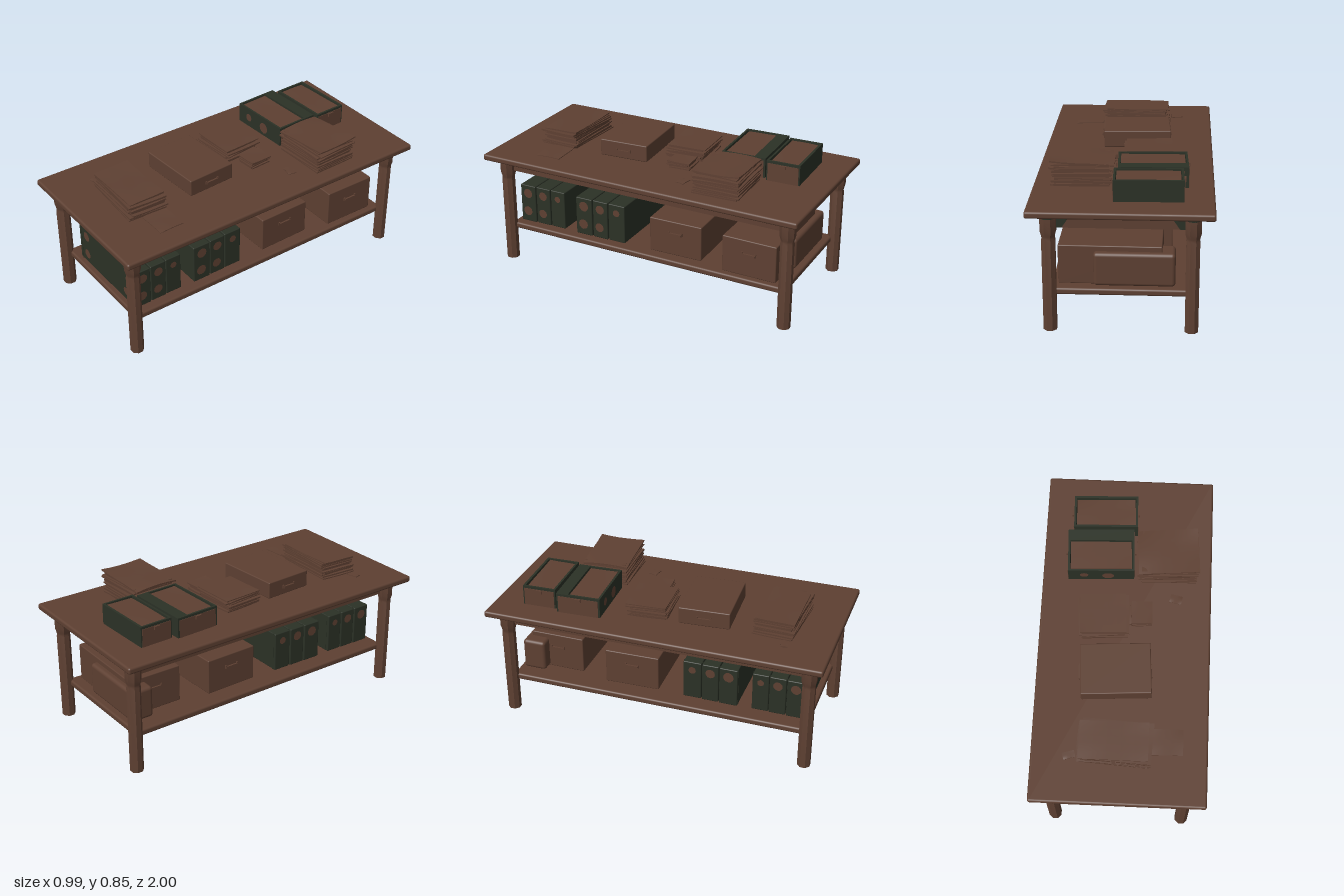
import * as THREE from 'three';
import { toCreasedNormals } from 'three/addons/utils/BufferGeometryUtils.js';
import { RoundedBoxGeometry } from 'three/addons/geometries/RoundedBoxGeometry.js';

const brown = new THREE.MeshStandardMaterial({ color: 0x5e4032 });
brown.name = 'dark brown';
const green = new THREE.MeshStandardMaterial({ color: 0x2b3126 });
green.name = 'dark green';

let seed = 7;
function rand(range = 1) { // seeded, from -range to range
  seed = (seed * 16807) % 2147483647;
  return (seed / 2147483647 * 2 - 1) * range;
}

function add(parent, name, geometry, material, x = 0, y = 0, z = 0) {
  const mesh = new THREE.Mesh(geometry, material);
  mesh.name = name;
  mesh.position.set(x, y, z);
  parent.add(mesh);
  return mesh;
}

function group(parent, name, x, y, z, turn = 0) {
  const g = new THREE.Group();
  g.name = name;
  g.position.set(x, y, z);
  g.rotation.y = turn;
  parent.add(g);
  return g;
}

const box = (w, h, d) => new THREE.BoxGeometry(w, h, d);

// Thin sheet or folder with curled corners
function sheet(w, h, d, curl) {
  const geo = new THREE.BoxGeometry(w, h, d, 5, 1, 5);
  const p = geo.attributes.position;
  const lift = [rand(curl), rand(curl), rand(curl), rand(curl)];
  for (let i = 0; i < p.count; i++) {
    const u = p.getX(i) / w * 2, v = p.getZ(i) / d * 2;
    const corner = lift[(u > 0 ? 1 : 0) + (v > 0 ? 2 : 0)];
    p.setY(i, p.getY(i) + corner * u * u * v * v);
  }
  geo.computeVertexNormals();
  return geo;
}

// Untidy pile of papers standing on the group's y = 0
function paperStack(parent, name, x, z, w, d, height, layers, turn) {
  const g = group(parent, name, x, 0.705, z, turn);
  const step = height / layers;
  for (let i = 0; i < layers; i++) {
    const thick = step * (0.72 + rand(0.2));
    const s = add(g, 'papers', sheet(w * (0.95 + rand(0.05)), thick, d * (0.95 + rand(0.05)), step * 0.45),
      brown, rand(0.012), step * (i + 0.5), rand(0.01));
    s.rotation.y = rand(0.04);
  }
  add(g, 'stackCore', box(w * 0.88, height * 0.95, d * 0.88), brown, 0, height * 0.475, 0);
  return g;
}

// Worn round patch lying on a side; facing 'x' or 'z'
function patch(parent, facing, x, y, z, r) {
  const m = add(parent, 'wornPatch', new THREE.CircleGeometry(r, 12), brown, x, y, z);
  if (facing === 'x') m.rotation.y = Math.PI / 2;
  if (facing === '-x') m.rotation.y = -Math.PI / 2;
}

// Storage box with handles on both short sides
function storageBox(parent, name, x, y, z, w, h, d, turn, handleY) {
  const g = group(parent, name, x, y, z, turn);
  add(g, 'body', new RoundedBoxGeometry(w, h, d, 2, 0.006), brown, 0, h / 2, 0);
  for (const s of [-1, 1]) {
    add(g, 'handle', box(0.012, 0.012, 0.08), brown, s * (w / 2 + 0.004), handleY, 0);
    add(g, 'handleEnd', box(0.01, 0.02, 0.01), brown, s * (w / 2 + 0.002), handleY + 0.004, 0.04);
    add(g, 'handleEnd', box(0.01, 0.02, 0.01), brown, s * (w / 2 + 0.002), handleY + 0.004, -0.04);
  }
  return g;
}

// Open green file box with brown contents
function fileBox(parent, name, x, z, w, h, d, turn, backRim) {
  const g = group(parent, name, x, 0.705, z, turn);
  const t = 0.012;
  add(g, 'frontWall', box(w, h, t), green, 0, h / 2, d / 2 - t / 2);
  add(g, 'backWall', box(w, h, backRim), green, 0, h / 2, -d / 2 + backRim / 2);
  for (const s of [-1, 1]) {
    add(g, 'sideWall', box(t, h, d), green, s * (w / 2 - t / 2), h / 2, 0);
    add(g, 'sidePanel', box(0.004, h * 0.88, d * 0.92), brown, s * (w / 2 + 0.001), h * 0.44, 0);
    add(g, 'knob', box(0.016, 0.02, 0.035), brown, s * (w / 2 + 0.004), h * 0.78, 0);
  }
  const inner = d - backRim - t;
  add(g, 'contents', sheet(w - 2.6 * t, 0.02, inner - 0.012, 0.004), brown, 0, h - 0.018, (backRim - t) / 2);
  return g;
}

export function createModel() {
  seed = 7;
  const model = new THREE.Group();
  model.name = 'workTable';

  // Table top and lower shelf
  add(model, 'tableTop', new RoundedBoxGeometry(0.99, 0.038, 2, 3, 0.012), brown, 0, 0.686, 0);
  add(model, 'lowerShelf', new RoundedBoxGeometry(0.75, 0.038, 1.8, 3, 0.012), brown, 0, 0.214, 0);

  // Turned legs with a green collar
  const k = 1 / Math.cos(Math.PI / 8);
  const legProfile = [[0, 0], [0.036, 0], [0.0365, 0.52], [0.034, 0.533], [0.036, 0.545], [0.0425, 0.57],
    [0.0425, 0.645]].map(([r, y]) => new THREE.Vector2(r * k, y));
  const legGeo = toCreasedNormals(new THREE.LatheGeometry(legProfile, 8, Math.PI / 8), 0.6);
  const collarGeo = new THREE.CylinderGeometry(0.0425 * k, 0.0425 * k, 0.024, 8, 1, true, Math.PI / 8);
  for (const x of [-0.38, 0.38]) for (const z of [-0.908, 0.908]) {
    add(model, 'leg', legGeo, brown, x, 0, z);
    add(model, 'legCollar', collarGeo, green, x, 0.656, z);
  }

  // Apron rails, with green corner patches on the end rails
  const tri = new THREE.Shape([[0, 0], [0.03, 0], [0.085, 0.082], [0, 0.082]].map(p => new THREE.Vector2(...p)));
  const triGeo = new THREE.ExtrudeGeometry(tri, { depth: 0.004, bevelEnabled: false });
  for (const s of [-1, 1]) {
    add(model, 'sideApron', box(0.03, 0.084, 1.76), brown, s * 0.365, 0.625, 0);
    add(model, 'endApron', box(0.7, 0.084, 0.03), brown, 0, 0.625, s * 0.885);
    for (const e of [0, Math.PI]) {
      const c = group(model, 'apronCorner', 0, 0, 0, e);
      const m = add(c, 'cornerPatch', triGeo, green, s * 0.34, 0.584, 0.898);
      if (s > 0) { m.rotation.y = Math.PI; m.position.z += 0.004; }
    }
  }

  // Two sets of three green binders on the shelf
  const binders = [[0.815, 0.107], [0.709, 0.1], [0.607, 0.1], [0.418, 0.112], [0.308, 0.102], [0.198, 0.112]];
  binders.forEach(([z, d], i) => {
    const g = group(model, 'binder', 0.022, 0.233, z);
    const w = 0.594 - (i % 3) * 0.006;
    add(g, 'cover', new RoundedBoxGeometry(w, 0.237, d - 0.003, 2, 0.005), green, 0, 0.1185, 0);
    add(g, 'spineRib', box(0.008, 0.236, d), green, -w / 2 + 0.022, 0.1185, 0);
    const r = d * (i % 3 === 2 ? 0.2 : 0.28);
    patch(g, 'x', w / 2 + 0.002, 0.185, 0, r);
    if (i % 3 < 2) patch(g, 'x', w / 2 + 0.002, 0.068, 0.005, r);
    patch(g, '-x', -w / 2 - 0.002, 0.185, 0, r);
    if (i === 0) {
      patch(g, 'z', -0.217, 0.185, d / 2, 0.03);
      patch(g, 'z', -0.217, 0.062, d / 2, 0.03);
      patch(g, 'z', 0.203, 0.062, d / 2, 0.025);
    }
  });

  // Brown boxes on the shelf
  storageBox(model, 'shelfBox', 0.02, 0.233, -0.183, 0.57, 0.212, 0.33, 0.02, 0.135);
  storageBox(model, 'shelfBox', 0.06, 0.233, -0.67, 0.56, 0.222, 0.33, -0.01, 0.135);
  add(model, 'smallShelfBox', new RoundedBoxGeometry(0.44, 0.19, 0.14, 3, 0.02), brown, -0.07, 0.33, -0.8);

  // File boxes on the table
  fileBox(model, 'rearFileBox', -0.14, -0.725, 0.375, 0.12, 0.2, 0.03, 0.014);
  const fb = fileBox(model, 'frontFileBox', -0.157, -0.475, 0.385, 0.118, 0.265, 0.04, 0.07);
  patch(fb, 'z', 0.04, 0.05, 0.1335, 0.035);
  patch(fb, 'z', -0.1, 0.06, 0.1335, 0.025);

  // Flat storage box on the table
  storageBox(model, 'tableBox', -0.04, 0.705, 0.243, 0.4, 0.1, 0.3, 0.06, 0.045);

  // Paper stacks on the table
  paperStack(model, 'tallPaperStack', 0.235, -0.475, 0.34, 0.28, 0.128, 13, 0.05);
  const cover = add(model, 'topFolder', sheet(0.35, 0.008, 0.275, 0.012), brown, 0.235, 0.836, -0.475);
  cover.rotation.set(0, 0.06, 0.025);
  paperStack(model, 'middlePaperStack', -0.125, -0.087, 0.28, 0.24, 0.08, 9, 0.07);
  paperStack(model, 'sidePaperStack', 0.085, -0.12, 0.12, 0.14, 0.045, 5, 0.08);
  paperStack(model, 'frontPaperStack', -0.025, 0.655, 0.42, 0.24, 0.1, 10, -0.03);

  // Loose sheets
  for (const [x, z, w, d, turn] of [[0.265, 0.635, 0.18, 0.15, 0.02], [-0.28, 0.73, 0.07, 0.04, 0.3],
    [0.29, -0.23, 0.07, 0.05, -0.2]]) {
    add(model, 'looseSheet', sheet(w, 0.004, d, 0.005), brown, x, 0.709, z).rotation.y = turn;
  }
  return model;
}
